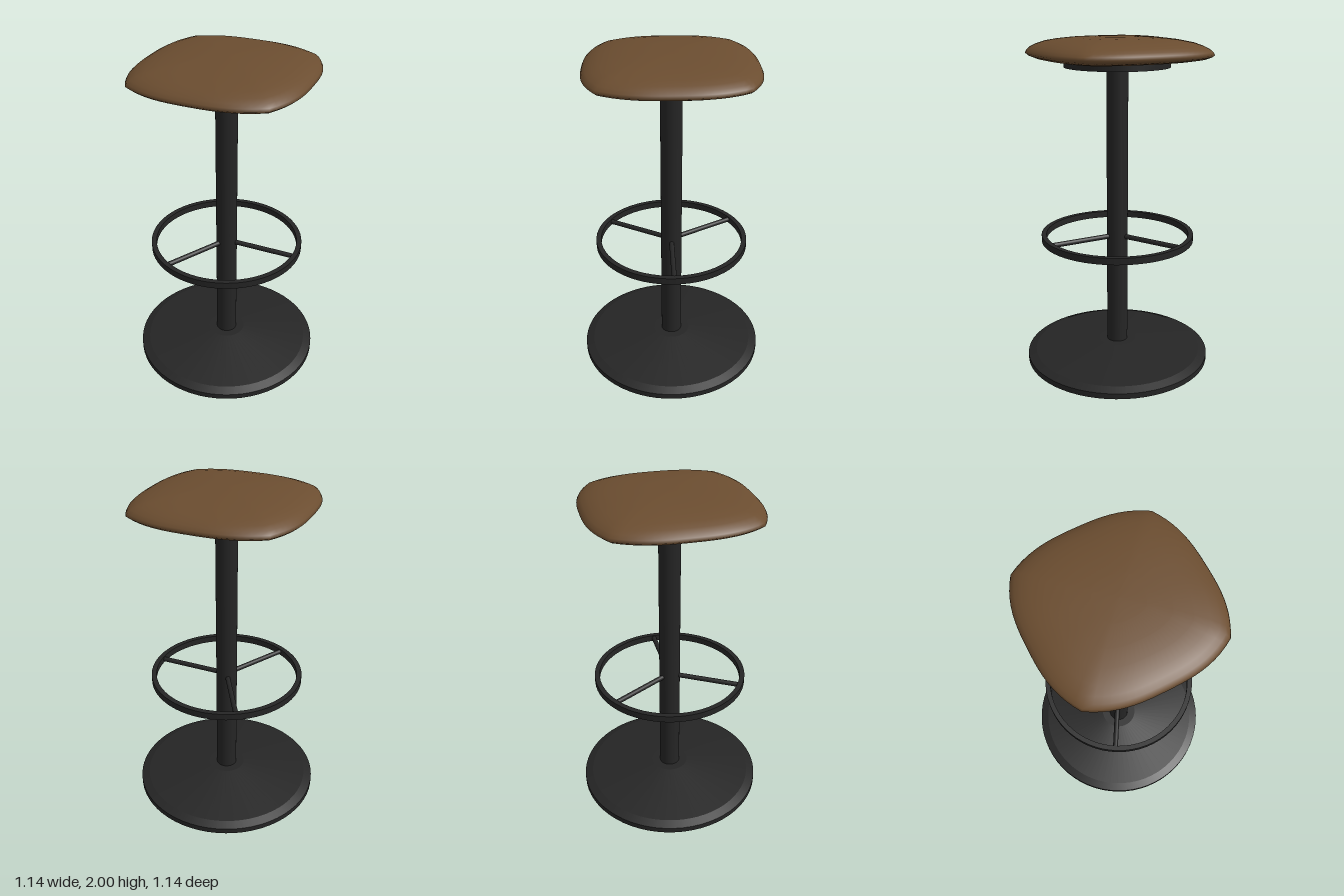
import * as THREE from 'three';

const black = new THREE.MeshStandardMaterial({ color: 0x252525 });
black.name = 'blackMetal';
const brown = new THREE.MeshStandardMaterial({ color: 0x6b4d30 });
brown.name = 'brownLeather';

function add(parent, name, geometry, material) {
  const mesh = new THREE.Mesh(geometry, material);
  mesh.name = name;
  parent.add(mesh);
  return mesh;
}

// Lathe with hard edges: inner profile points are doubled to split the normals
function turned(profile) {
  const pts = profile.flatMap(([r, y], i) => {
    const p = new THREE.Vector2(r, y);
    return i === 0 || i === profile.length - 1 ? [p] : [p, p.clone()];
  });
  return new THREE.LatheGeometry(pts, 64);
}

// Rounded square outline with four soft points, scaled through a pillow profile
function cushionGeometry() {
  const steps = 20;
  const outline = [];
  for (let side = 0; side < 4; side++) {
    for (let i = 0; i < steps; i++) {
      const t = (i / steps) * 2 - 1;
      let x = 0.493 - 0.093 * Math.pow(Math.abs(t), 2.8);
      let z = 0.4 * t;
      for (let k = 0; k < side; k++) [x, z] = [-z, x];
      outline.push([x, z]);
    }
  }
  // [scale, height] from the underside centre to the top centre
  const profile = [
    [0, 1.86], [0.4, 1.86], [0.62, 1.861], [0.78, 1.866], [0.9, 1.876], [0.97, 1.89],
    [1, 1.903], [0.985, 1.918], [0.95, 1.934], [0.89, 1.95], [0.8, 1.966], [0.66, 1.98],
    [0.48, 1.991], [0.25, 1.998], [0, 2],
  ];
  const n = outline.length;
  const positions = [];
  const index = [];
  profile.forEach(([s, y], i) => {
    outline.forEach(([x, z], j) => {
      positions.push(x * s, y, z * s);
      if (i === profile.length - 1) return;
      const a = i * n + j;
      const b = i * n + ((j + 1) % n);
      if (i > 0) index.push(a, a + n, b);
      if (i < profile.length - 2) index.push(b, a + n, b + n);
    });
  });
  const geometry = new THREE.BufferGeometry();
  geometry.setAttribute('position', new THREE.Float32BufferAttribute(positions, 3));
  geometry.setIndex(index);
  geometry.computeVertexNormals();
  // Clean normals at the two poles
  const normals = geometry.attributes.normal;
  for (let j = 0; j < n; j++) {
    normals.setXYZ(j, 0, -1, 0);
    normals.setXYZ((profile.length - 1) * n + j, 0, 1, 0);
  }
  return geometry;
}

export function createModel() {
  const stool = new THREE.Group();
  stool.name = 'barStool';

  // Base and column
  add(stool, 'base', turned([
    [0, 0], [0.57, 0], [0.57, 0.034], [0.52, 0.053], [0.115, 0.105], [0, 0.105],
  ]), black);
  add(stool, 'column', new THREE.CylinderGeometry(0.064, 0.064, 1.75, 48), black)
    .position.y = 0.965;

  // Footrest ring on three spokes
  const footrest = new THREE.Group();
  footrest.name = 'footrest';
  footrest.position.y = 0.8;
  stool.add(footrest);
  add(footrest, 'footrestRing', turned([
    [0.465, -0.02], [0.465, 0.02], [0.435, 0.02], [0.435, -0.02], [0.465, -0.02],
  ]), black);
  for (let i = 0; i < 3; i++) {
    const arm = new THREE.Group();
    arm.name = 'spokeArm';
    arm.rotation.y = (-i * Math.PI * 2) / 3;
    footrest.add(arm);
    const spoke = add(arm, 'spoke', new THREE.CylinderGeometry(0.015, 0.015, 0.4, 16), black);
    spoke.rotation.z = Math.PI / 2;
    spoke.position.x = 0.245;
  }

  // Seat
  add(stool, 'seatPlate', new THREE.CylinderGeometry(0.31, 0.31, 0.04, 64), black)
    .position.y = 1.845;
  add(stool, 'seatCushion', cushionGeometry(), brown);

  return stool;
}
